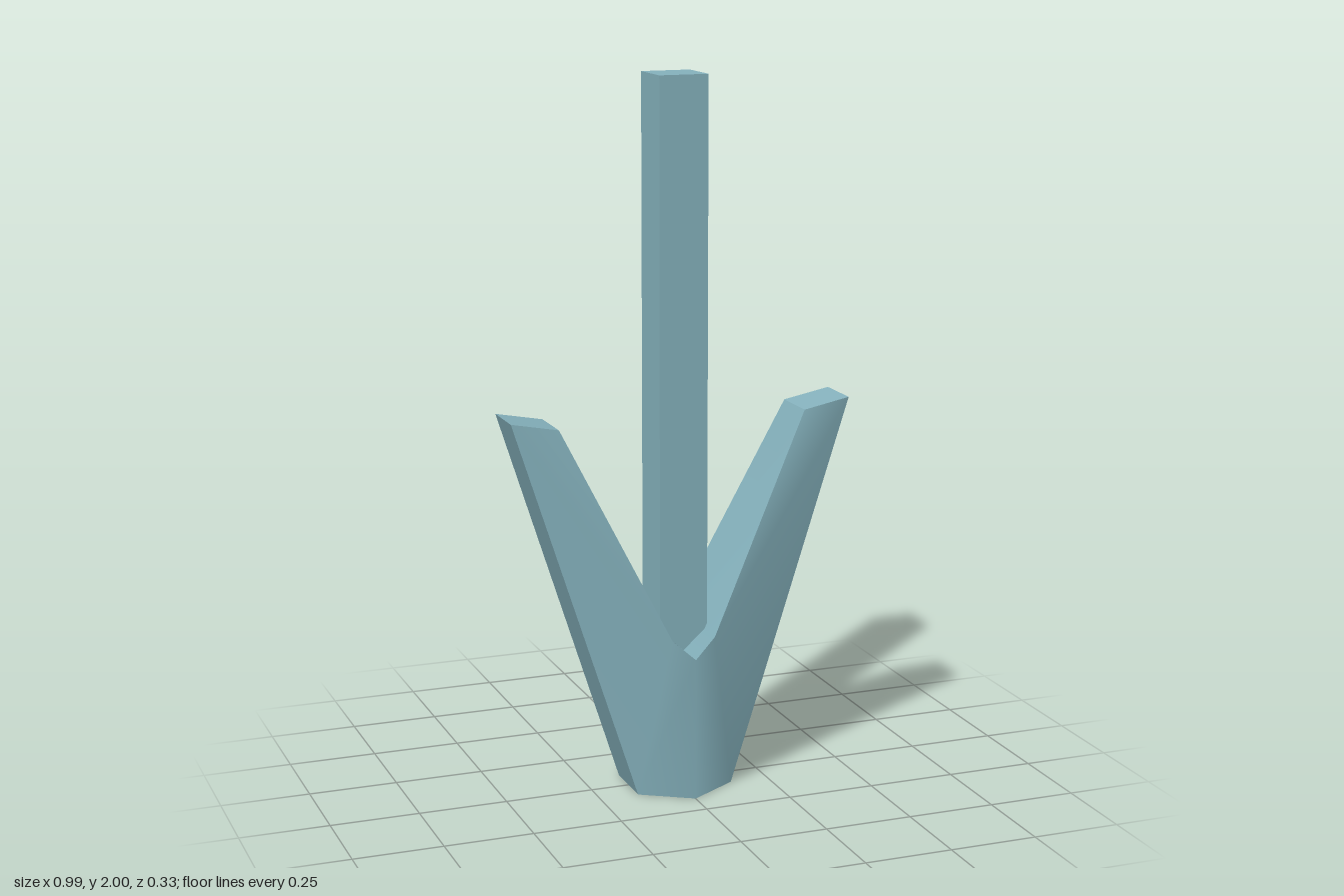
import * as THREE from 'three';
import { mergeGeometries } from 'three/addons/utils/BufferGeometryUtils.js';

// Smooth band of quads between two rows of points; diagonals mirror about the middle
function strip(a, b) {
  const n = a.length, index = [];
  for (let i = 0; i < n - 1; i++) {
    const [p, q, r, s] = [i, i + 1, n + i + 1, n + i];
    if (i < (n - 1) / 2) index.push(p, q, r, p, r, s);
    else index.push(p, q, s, q, r, s);
  }
  const g = new THREE.BufferGeometry();
  g.setAttribute('position', new THREE.Float32BufferAttribute([...a, ...b].flat(), 3));
  g.setIndex(index);
  g.computeVertexNormals();
  return g;
}

// Forked body: cross-sections run from one arm tip, through the hub, to the other tip
function forkGeometry() {
  // lower [x, y, z] and upper [x, y, z] corner of each section, z being half the depth
  const half = [
    { low: [0, 0, 0.166], up: [0, 0.405, 0.166] },
    { low: [0.14, 0, 0.08], up: [0.062, 0.46, 0.15] },
    { low: [0.493, 1.09, 0.071], up: [0.359, 1.064, 0.072] },
  ];
  const mirror = ([x, y, z]) => [-x, y, z];
  const sections = [
    ...half.slice(1).reverse().map((s) => ({ low: mirror(s.low), up: mirror(s.up) })),
    ...half,
  ];
  const row = (key, side) => sections.map((s) => [s[key][0], s[key][1], s[key][2] * side]);
  const lowF = row('low', 1), lowB = row('low', -1);
  const upF = row('up', 1), upB = row('up', -1);

  return mergeGeometries([
    strip(lowF, upF), // front
    strip([...lowB].reverse(), [...upB].reverse()), // back
    strip(upF, upB), // inner faces of the fork
    strip(lowB.slice(0, 2), lowF.slice(0, 2)), // outer face, right arm
    strip(lowB.slice(1, 4), lowF.slice(1, 4)), // hexagonal base
    strip(lowB.slice(3), lowF.slice(3)), // outer face, left arm
    strip([lowF[0], upF[0]], [lowB[0], upB[0]]), // right tip
    strip([upF[4], lowF[4]], [upB[4], lowB[4]]), // left tip
  ]);
}

export function createModel() {
  const model = new THREE.Group();
  model.name = 'forkedPost';
  const material = new THREE.MeshStandardMaterial({ color: 0x86b3be });

  const fork = new THREE.Mesh(forkGeometry(), material);
  fork.name = 'forkedBase';
  model.add(fork);

  // Square shaft rising out of the hub
  const bottom = 0.3, top = 2;
  const shaft = new THREE.Mesh(new THREE.BoxGeometry(0.14, top - bottom, 0.14), material);
  shaft.name = 'shaft';
  shaft.position.y = (top + bottom) / 2;
  model.add(shaft);

  return model;
}
